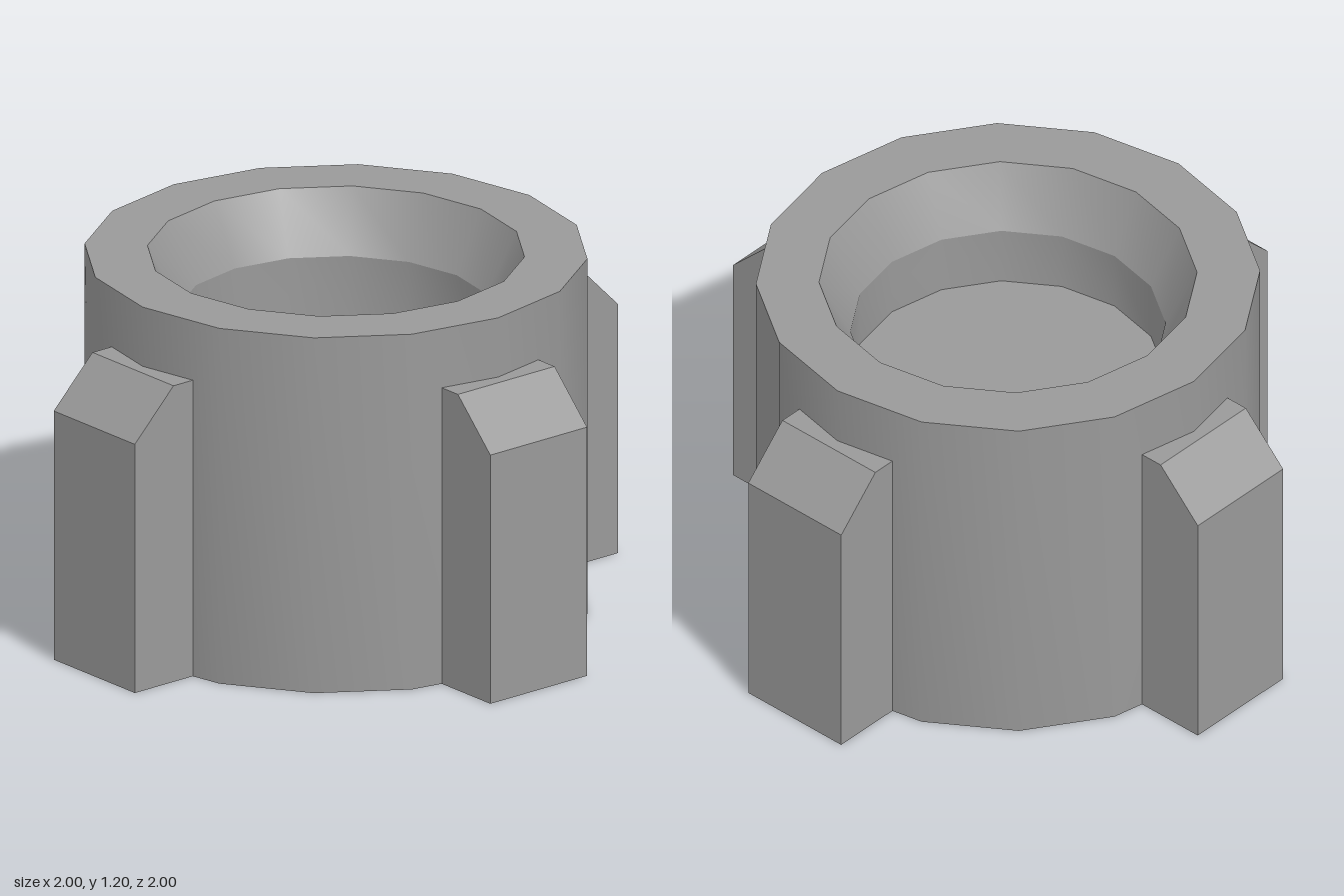
import * as THREE from 'three';
import { toCreasedNormals } from 'three/addons/utils/BufferGeometryUtils.js';

const toPoints = (pairs) => pairs.map(([x, y]) => new THREE.Vector2(x, y));

// Flat strips joining consecutive profile points across the width in z
function createSkin(points, halfWidth) {
  const positions = [];
  for (let i = 0; i < points.length - 1; i++) {
    const a = points[i], b = points[i + 1], w = halfWidth;
    positions.push(a.x, a.y, w, a.x, a.y, -w, b.x, b.y, -w);
    positions.push(a.x, a.y, w, b.x, b.y, -w, b.x, b.y, w);
  }
  const geometry = new THREE.BufferGeometry();
  geometry.setAttribute('position', new THREE.Float32BufferAttribute(positions, 3));
  geometry.computeVertexNormals();
  return geometry;
}

export function createModel() {
  const model = new THREE.Group();
  model.name = 'ribbedSocket';
  const material = new THREE.MeshStandardMaterial({ color: 0x999999, side: THREE.DoubleSide });

  // Thin open-bottomed wall, flat rim, tapered mouth and recessed floor
  const profile = toPoints([[0.8, 0], [0.8, 1.2], [0.6, 1.2], [0.5, 1], [0.5, 0.8], [0, 0.8]]);
  const body = new THREE.Mesh(
    toCreasedNormals(new THREE.LatheGeometry(profile, 16), 0.42), material);
  body.name = 'body';
  model.add(body);

  // Four hollow ribs, open below and towards the wall, chamfered at the outer top edge
  const halfWidth = 0.2;
  const outline = toPoints([[1, 0], [1, 0.84], [0.84, 1], [0.74, 1]]);
  const skinGeometry = createSkin(outline, halfWidth);
  const cheekGeometry = new THREE.ShapeGeometry(
    new THREE.Shape([...outline, new THREE.Vector2(0.74, 0)]));

  ['leftRib', 'backRib', 'rightRib', 'frontRib'].forEach((name, i) => {
    const rib = new THREE.Group();
    rib.name = name;
    const skin = new THREE.Mesh(skinGeometry, material);
    skin.name = 'ribFace';
    rib.add(skin);
    for (const side of [-1, 1]) {
      const cheek = new THREE.Mesh(cheekGeometry, material);
      cheek.name = 'ribCheek';
      cheek.position.z = side * halfWidth;
      rib.add(cheek);
    }
    rib.rotation.y = i * Math.PI / 2;
    model.add(rib);
  });

  return model;
}
